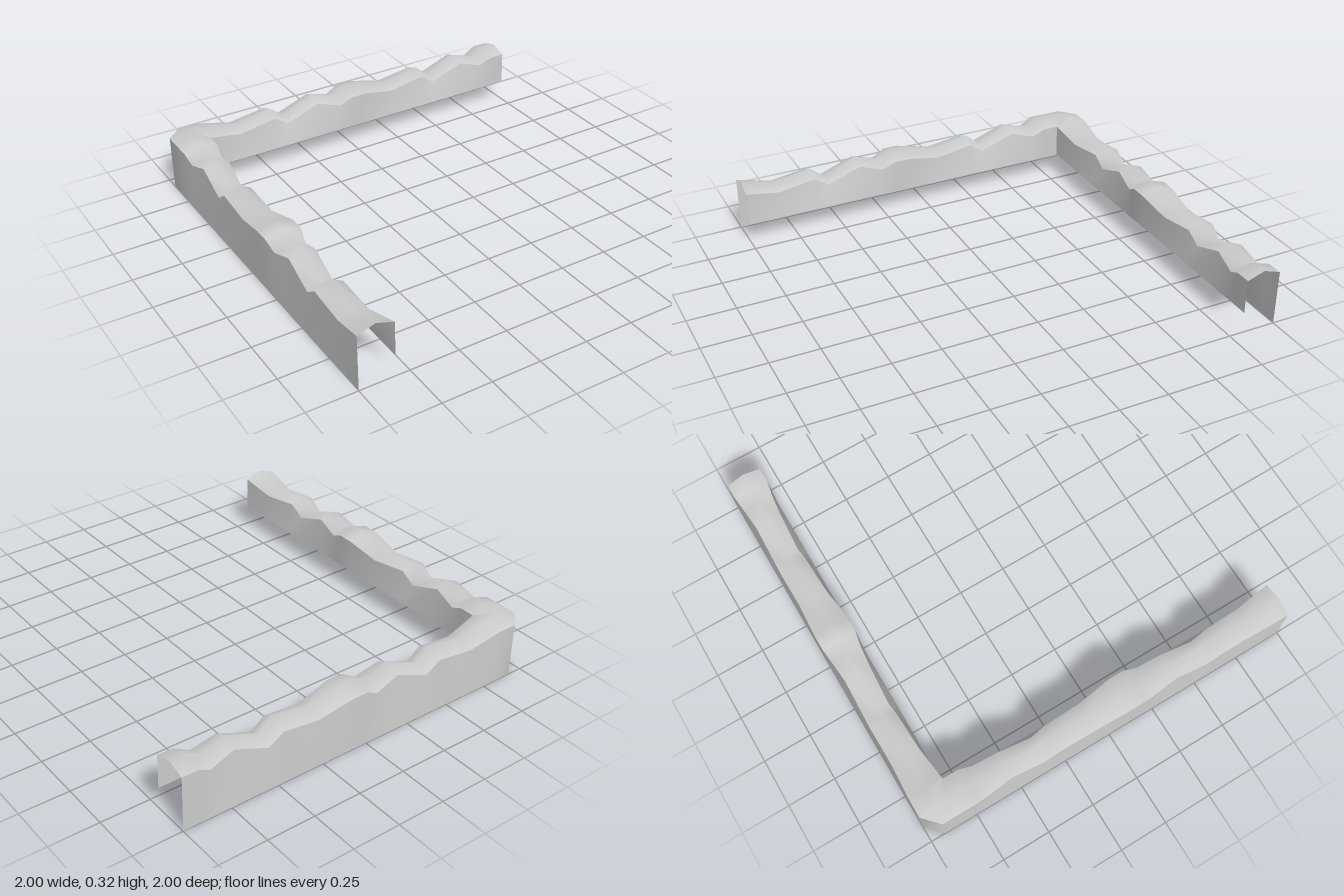
import * as THREE from 'three';

const IN = -0.82, OUT = -1, MID = -0.91, SKIRT = 0.11;

// One length of the wavy crest: [distance, ridge height, edge drop, inner inset, outer inset]
const WAVE = [
  [0, 0.315, 0.03, 0, 0],
  [0.18, 0.27, 0.025, 0.02, 0.011],
  [0.38, 0.305, 0.033, 0.03, 0.009],
  [0.455, 0.245, 0.026, 0.036, 0.012],
  [0.635, 0.317, 0.028, 0.027, 0.018],
  [0.76, 0.275, 0.026, 0.014, 0.009],
  [0.83, 0.315, 0.03, 0, 0],
  [0.91, 0.315, 0.03, 0, 0],
];

// Cross-sections of one arm, made of two repeated lengths.
// place(across, y, distance) turns arm coordinates into a point.
function armSections(place) {
  const sections = [];
  for (let k = 0; k < 2; k++) {
    WAVE.forEach(([d, h, drop, inner, outer], i) => {
      if (k === 1 && i === 0) return;
      const t = d + k * 0.91;
      sections.push([
        place(OUT, 0, t),
        place(OUT + outer, h - drop, t),
        place(MID, h, t),
        place(IN - inner, h - drop, t),
        place(IN, SKIRT, t),
      ]);
    });
  }
  return sections;
}

// Smooth strip through the chosen columns of a run of sections
function strip(name, sections, from, to, material) {
  const n = to - from + 1;
  const positions = [], index = [];
  sections.forEach((s, i) => {
    for (let j = 0; j < n; j++) positions.push(...s[from + j]);
    if (i === 0) return;
    for (let j = 0; j < n - 1; j++) {
      const a = (i - 1) * n + j, b = a + n;
      index.push(a, a + 1, b, a + 1, b + 1, b);
    }
  });
  const geometry = new THREE.BufferGeometry();
  geometry.setAttribute('position', new THREE.Float32BufferAttribute(positions, 3));
  geometry.setIndex(index);
  geometry.computeVertexNormals();
  const mesh = new THREE.Mesh(geometry, material);
  mesh.name = name;
  return mesh;
}

export function createModel() {
  const group = new THREE.Group();
  group.name = 'cornerWallCap';
  const material = new THREE.MeshStandardMaterial({ color: 0xcccccc, side: THREE.DoubleSide });

  // Left-hand arm runs from the front to the corner, back arm from the corner outwards
  const sideArm = armSections((a, y, t) => [a, y, 1 - t]);
  const backArm = armSections((a, y, t) => [IN + t, y, a]);

  // Cut-off outer corner joining the arms
  const cornerSection = (x, z, rx, rz) => [
    [x, 0, z], [x, 0.285, z], [rx, 0.315, rz], [IN, 0.285, IN], [IN, SKIRT, IN],
  ];
  const corner = [
    cornerSection(OUT, -0.925, MID, -0.895),
    cornerSection(-0.92, OUT, -0.895, MID),
  ];
  const whole = [...sideArm, ...corner, ...backArm];

  group.add(
    strip('outerWall', whole, 0, 1, material),
    strip('wavyCrest', whole, 1, 3, material),
    strip('sideInnerWall', sideArm, 3, 4, material),
    strip('backInnerWall', backArm, 3, 4, material),
  );
  return group;
}
